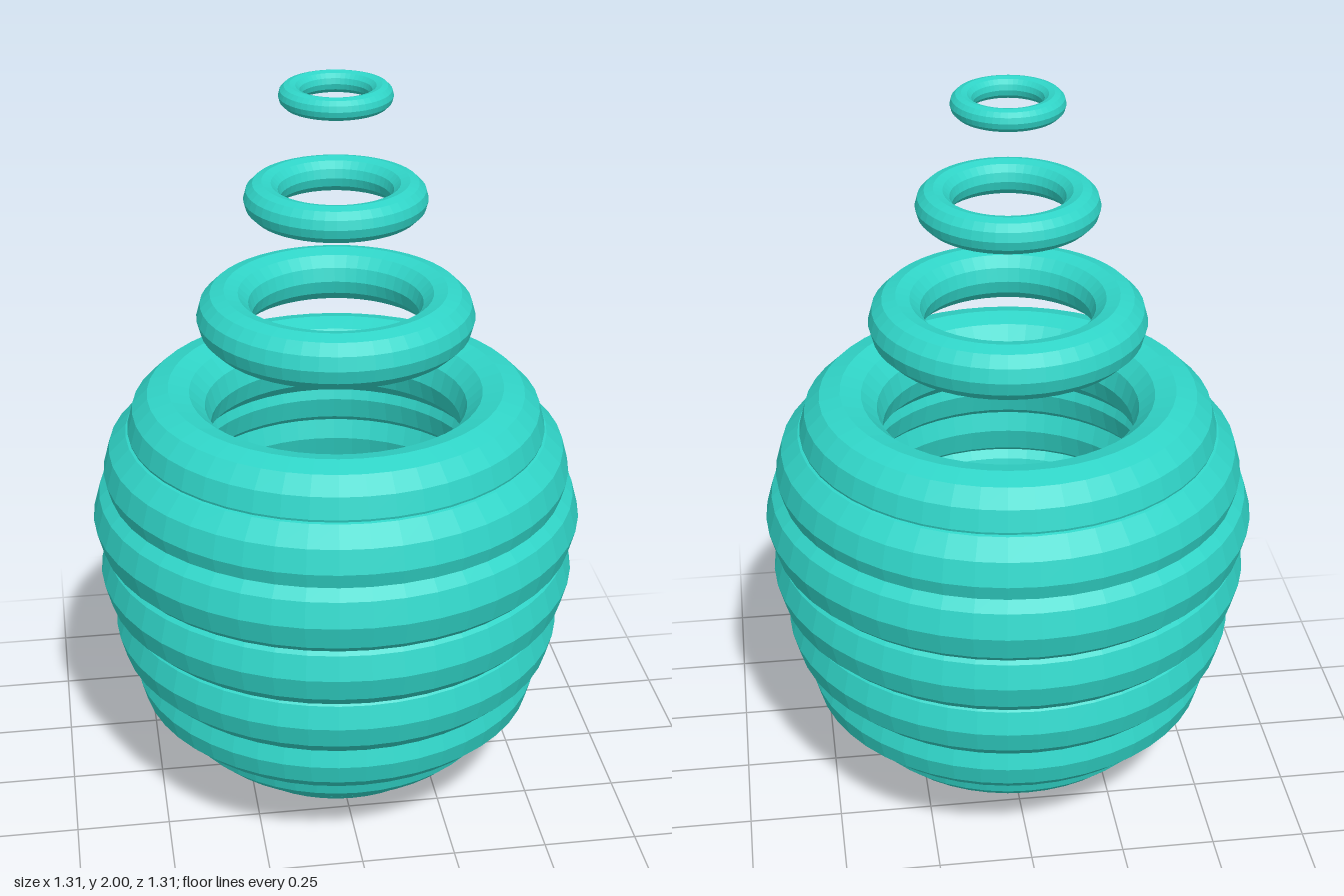
import * as THREE from 'three';

// Each ring: [name, centre-line radius, centre height]; tube is a quarter of the radius
const RINGS = [
  ['baseRing1', 0.128, 0.032],
  ['baseRing2', 0.188, 0.087],
  ['baseRing3', 0.28, 0.135],
  ['baseRing4', 0.36, 0.225],
  ['bodyRing1', 0.443, 0.344],
  ['bodyRing2', 0.485, 0.497],
  ['bodyRing3', 0.512, 0.664],
  ['bodyRing4', 0.523, 0.825],
  ['bodyRing5', 0.497, 0.958],
  ['bodyRing6', 0.443, 1.074],
  ['floatingRing1', 0.29, 1.382],
  ['floatingRing2', 0.188, 1.702],
  ['floatingRing3', 0.115, 1.971],
];

export function createModel() {
  const model = new THREE.Group();
  model.name = 'ringStack';
  const material = new THREE.MeshStandardMaterial({ color: 0x30d5c8, flatShading: true });

  // One faceted ring lying flat, scaled for every level
  const geometry = new THREE.TorusGeometry(1, 0.25, 12, 48).rotateX(Math.PI / 2);

  for (const [name, radius, y] of RINGS) {
    const ring = new THREE.Mesh(geometry, material);
    ring.name = name;
    ring.scale.setScalar(radius);
    ring.position.y = y;
    model.add(ring);
  }
  return model;
}
